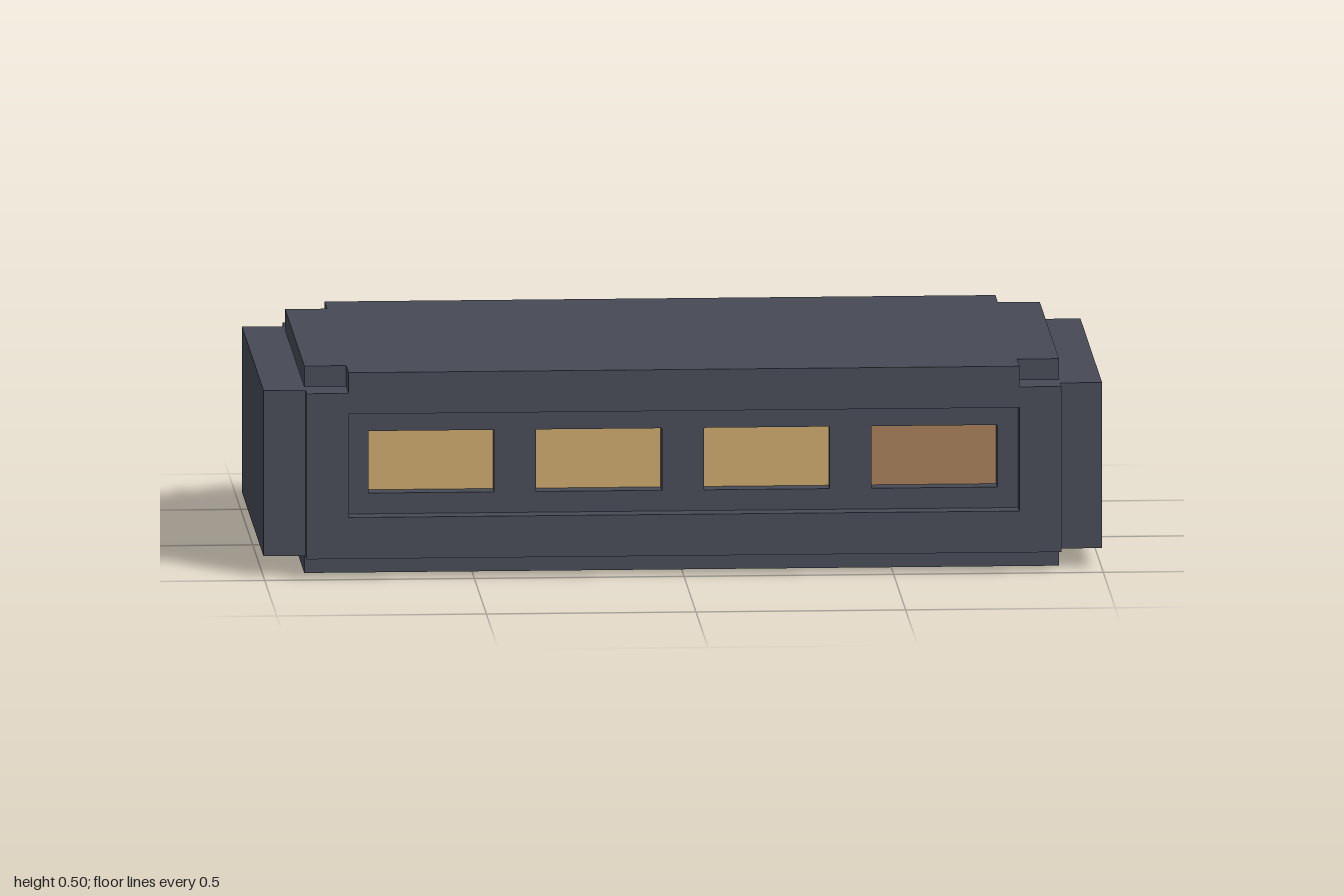
import * as THREE from 'three';

export function createModel() {
  const group = new THREE.Group();
  const material = (name, color) => {
    const m = new THREE.MeshStandardMaterial({ color });
    m.name = name;
    return m;
  };
  const slate = material('slate hull', 0x464955);
  const amber = material('amber window', 0xc9a66b);
  const dimAmber = material('dim window', 0xa57c58);

  const add = (name, geometry, mat) => {
    const mesh = new THREE.Mesh(geometry, mat);
    mesh.name = name;
    group.add(mesh);
    return mesh;
  };
  // Box given by its minimum and maximum corners
  const box = (name, mat, [x0, y0, z0], [x1, y1, z1]) =>
    add(name, new THREE.BoxGeometry(x1 - x0, y1 - y0, z1 - z0)
      .translate((x0 + x1) / 2, (y0 + y1) / 2, (z0 + z1) / 2), mat);

  const rect = (path, x0, y0, x1, y1) =>
    path.moveTo(x0, y0).lineTo(x1, y0).lineTo(x1, y1).lineTo(x0, y1).closePath();
  // Front wall layer with rectangular openings
  const wall = (name, z, openings) => {
    const shape = rect(new THREE.Shape(), -0.9, 0.05, 0.9, 0.45);
    for (const o of openings) shape.holes.push(rect(new THREE.Path(), ...o));
    const geometry = new THREE.ExtrudeGeometry(shape, { depth: 0.05, bevelEnabled: false });
    add(name, geometry.translate(0, 0, z), slate);
  };

  // Main body, open below the front wall
  box('body', slate, [-0.9, 0, -0.5], [0.9, 0.45, 0.4]);

  // Roof slab with its four corners cut away
  const roof = new THREE.Shape([
    [-0.8, -0.5], [0.8, -0.5], [0.8, -0.4], [0.9, -0.4], [0.9, 0.4], [0.8, 0.4],
    [0.8, 0.5], [-0.8, 0.5], [-0.8, 0.4], [-0.9, 0.4], [-0.9, -0.4], [-0.8, -0.4],
  ].map(([x, y]) => new THREE.Vector2(x, y)));
  add('roof', new THREE.ExtrudeGeometry(roof, { depth: 0.05, bevelEnabled: false })
    .rotateX(-Math.PI / 2).translate(0, 0.45, 0), slate);

  // Stepped front wall: one wide recess, then four window openings
  const windows = [-0.75, -0.35, 0.05, 0.45];
  wall('frontFrame', 0.45, [[-0.8, 0.15, 0.8, 0.4]]);
  wall('windowWall', 0.4, windows.map((x) => [x, 0.2, x + 0.3, 0.35]));

  // Window panes at the back of the openings
  windows.forEach((x, i) =>
    box('windowPane', i === 3 ? dimAmber : amber, [x, 0.2, 0.398], [x + 0.3, 0.35, 0.402]));

  // End blocks
  box('leftEnd', slate, [0.9, 0.05, -0.45], [1, 0.45, 0.45]);
  box('rightEnd', slate, [-1, 0.05, -0.45], [-0.9, 0.45, 0.45]);

  return group;
}
